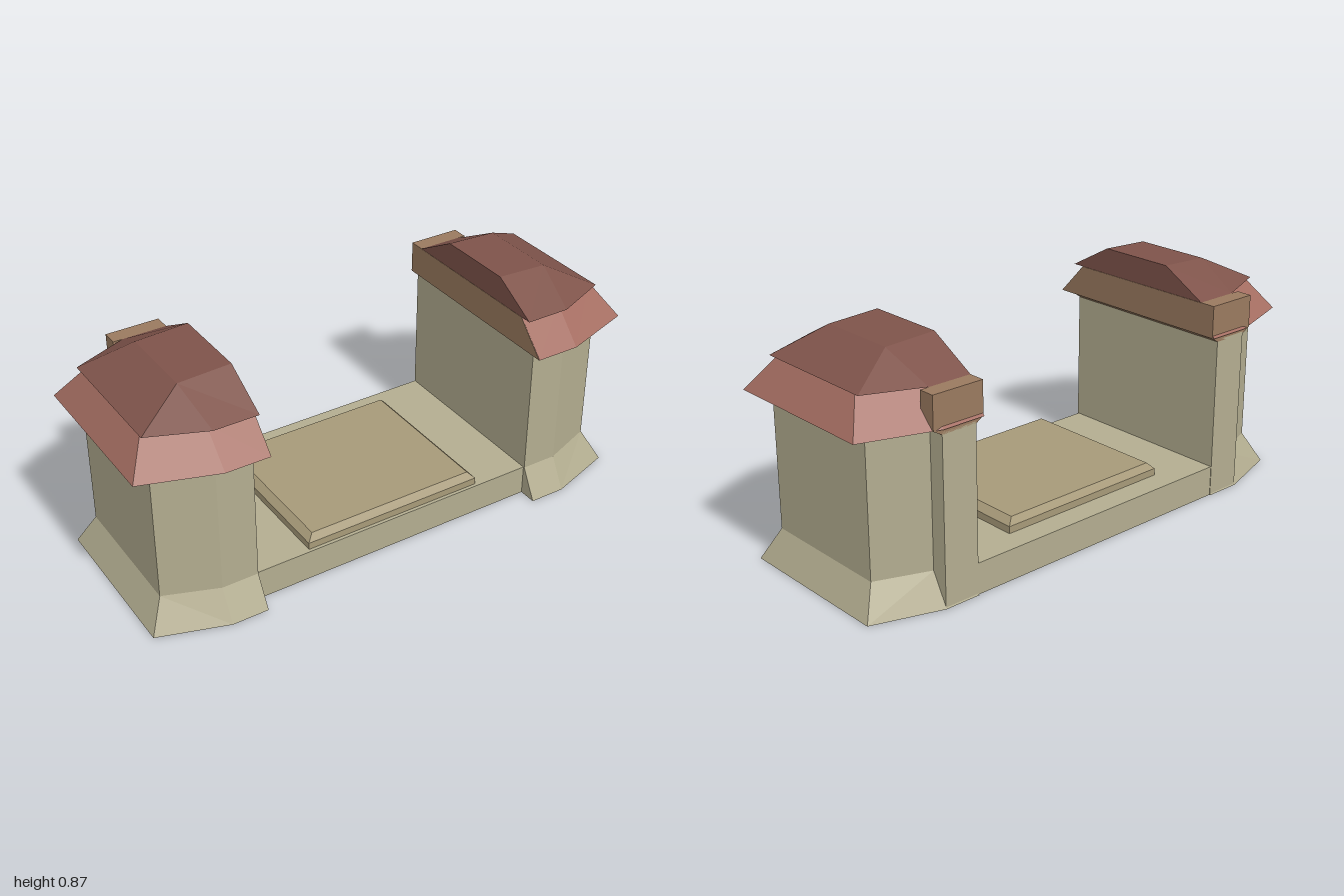
import * as THREE from 'three';

const mat = (color) => new THREE.MeshStandardMaterial({ color, flatShading: true, roughness: 0.9 });

// Solid through stacked rings of [x, y, z]; rings run counterclockwise seen from above.
function loft(name, rings, material, side = 1) {
  const n = rings[0].length;
  const index = [];
  const tri = (a, b, c) => (side > 0 ? index.push(a, b, c) : index.push(a, c, b));
  for (let r = 0; r < rings.length - 1; r++) {
    for (let i = 0; i < n; i++) {
      const a = r * n + i, b = r * n + (i + 1) % n;
      tri(a, b, b + n);
      tri(a, b + n, a + n);
    }
  }
  const top = (rings.length - 1) * n;
  for (let i = 1; i < n - 1; i++) {
    tri(0, i + 1, i);
    tri(top, top + i, top + i + 1);
  }
  const positions = rings.flat().flatMap(([x, y, z]) => [x * side, y, z]);
  const indexed = new THREE.BufferGeometry();
  indexed.setAttribute('position', new THREE.Float32BufferAttribute(positions, 3));
  indexed.setIndex(index);
  const geometry = indexed.toNonIndexed();
  geometry.computeVertexNormals();
  const mesh = new THREE.Mesh(geometry, material);
  mesh.name = name;
  return mesh;
}

const rect = (y, x0, x1, z0, z1) => [[x0, y, z1], [x1, y, z1], [x1, y, z0], [x0, y, z0]];

// Half-octagon plan: straight inner side, chamfered outer corners.
const ZC = -0.005;
const plan = (y, inner, mid, outer, zMid, zOuter) => [
  [inner, y, ZC + zMid], [mid, y, ZC + zMid], [outer, y, ZC + zOuter],
  [outer, y, ZC - zOuter], [mid, y, ZC - zMid], [inner, y, ZC - zMid],
];

export function createModel() {
  const model = new THREE.Group();
  model.name = 'gateway';
  const stone = mat(0xb3ad90);
  const wood = mat(0x9a7a5f);
  const tile = mat(0xa56e62);
  const darkTile = mat(0x7e534a);
  const padMat = mat(0xa79a79);

  // Threshold slab and raised pad between the towers
  model.add(loft('threshold', [
    rect(0, -0.58, 0.58, -0.4, 0.325),
    rect(0.118, -0.58, 0.58, -0.4, 0.325),
  ], stone));
  model.add(loft('pad', [
    rect(0.118, -0.365, 0.36, -0.308, 0.312),
    rect(0.145, -0.365, 0.36, -0.308, 0.312),
    rect(0.17, -0.34, 0.335, -0.29, 0.292),
  ], padMat));

  for (const side of [1, -1]) {
    const tower = new THREE.Group();
    tower.name = side > 0 ? 'leftTower' : 'rightTower';
    const add = (name, rings, material) => tower.add(loft(name, rings, material, side));

    // Flared foot and straight walls
    add('wall', [
      plan(0, 0.58, 0.72, 0.98, 0.4, 0.315),
      plan(0.118, 0.58, 0.72, 0.92, 0.335, 0.26),
      plan(0.642, 0.58, 0.72, 0.92, 0.335, 0.26),
    ], stone);

    // Post on the back, with its capping beam
    add('post', [
      rect(0, 0.58, 0.72, -0.402, -0.33),
      rect(0.63, 0.58, 0.72, -0.402, -0.33),
    ], stone);
    add('postBeam', [
      rect(0.622, 0.58, 0.72, -0.402, -0.34),
      rect(0.642, 0.55, 0.755, -0.402, -0.34),
      rect(0.765, 0.55, 0.755, -0.402, -0.34),
    ], wood);

    // Beam along the inner side under the roof
    add('innerBeam', [
      rect(0.622, 0.58, 0.585, -0.34, 0.325),
      rect(0.642, 0.55, 0.585, -0.34, 0.325),
      rect(0.642, 0.55, 0.585, -0.34, 0.398),
      rect(0.764, 0.55, 0.585, -0.34, 0.284),
    ], wood);

    // Underside of the eaves and the lower skirt roof
    add('soffit', [
      plan(0.64, 0.552, 0.72, 0.995, 0.4, 0.308),
      plan(0.643, 0.552, 0.72, 0.995, 0.4, 0.308),
    ], stone);
    add('lowerRoof', [
      plan(0.642, 0.552, 0.72, 1.0, 0.405, 0.312),
      plan(0.765, 0.552, 0.72, 0.92, 0.288, 0.22),
    ], tile);

    // Upper hipped roof with a nearly flat, slightly tilted crown
    const crown = plan(0.857, 0.55, 0.75, 0.75, 0.155, 0.155);
    crown[0][1] = crown[5][1] = 0.866;
    add('upperRoof', [plan(0.765, 0.55, 0.72, 0.93, 0.335, 0.248), crown], darkTile);

    model.add(tower);
  }
  return model;
}
